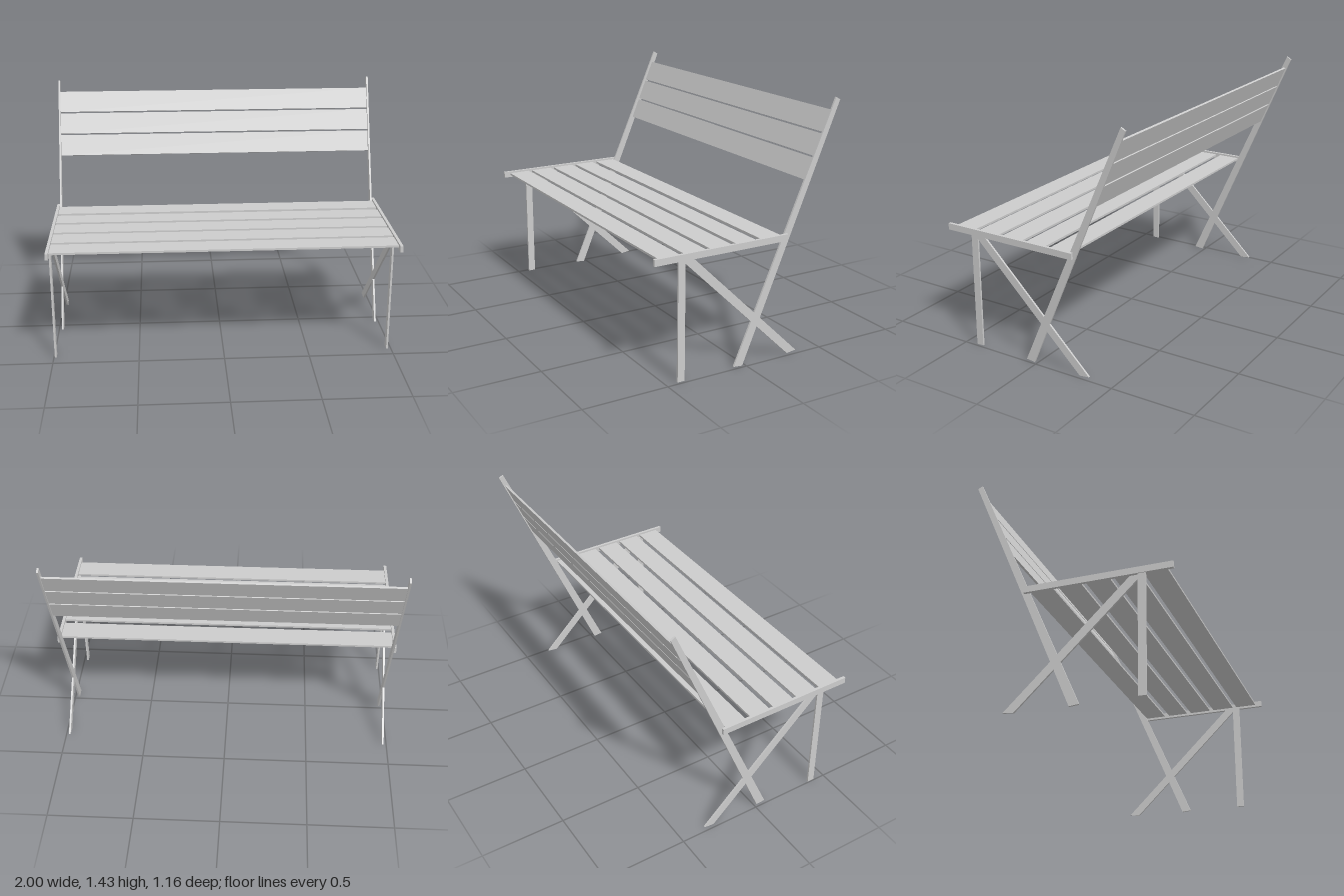
import * as THREE from 'three';

export function createModel() {
  const bench = new THREE.Group();
  bench.name = 'bench';
  const material = new THREE.MeshStandardMaterial({ color: 0xcccccc, flatShading: true });

  function add(name, geometry, parent = bench) {
    const mesh = new THREE.Mesh(geometry, material);
    mesh.name = name;
    parent.add(mesh);
    return mesh;
  }

  // Flat bar: side outline given as [z, y] corners, spanning x0..x1
  function bar(name, outline, x0, x1, parent) {
    const shape = new THREE.Shape(outline.map(([z, y]) => new THREE.Vector2(-z, y)));
    const geometry = new THREE.ExtrudeGeometry(shape, { depth: x1 - x0, bevelEnabled: false });
    geometry.rotateY(Math.PI / 2).translate(x0, 0, 0);
    return add(name, geometry, parent);
  }

  // Side frames: inner bars in one plane, the seat rail just outside them
  for (const [side, s] of [['left', 1], ['right', -1]]) {
    const frame = new THREE.Group();
    frame.name = side + 'Frame';
    bench.add(frame);
    const span = (a, b) => (s > 0 ? [a, b] : [-b, -a]);
    const inner = span(0.972, 0.983);
    // The right front leg sits under the rail, slightly further out
    const legSpan = s > 0 ? inner : [-0.995, -0.984];

    bar('seatRail', [[0.58, 0.68], [0.58, 0.717], [-0.255, 0.717], [-0.255, 0.68]],
      ...span(0.983, 1.0), frame);
    bar('frontLeg', [[0.43, 0], [0.43, 0.69], [0.387, 0.69], [0.387, 0]], ...legSpan, frame);
    bar('backPost', [[0.073, 0.005], [0.018, 0], [-0.58, 1.42], [-0.553, 1.435]], ...inner, frame);
    bar('diagonalBrace', [[0.387, 0.658], [0.387, 0.685], [0.345, 0.685], [-0.345, 0.012], [-0.285, 0.005]],
      ...inner, frame);
  }

  // Seat slats
  const seatSlats = [[0.41, 0.54], [0.25, 0.385], [0.09, 0.225], [-0.065, 0.063], [-0.227, -0.097]];
  seatSlats.forEach(([z0, z1], i) => {
    add('seatSlat' + (i + 1), new THREE.BoxGeometry(1.97, 0.012, z1 - z0))
      .position.set(0, 0.7, (z0 + z1) / 2);
  });

  // Backrest slats, leaning with the posts
  for (let i = 0; i < 3; i++) {
    const y = 1.051 + i * 0.1265;
    const slat = add('backSlat' + (i + 1), new THREE.BoxGeometry(1.946, 0.128, 0.012));
    slat.position.set(0, y, -0.385 - (y - 0.99) * 0.42);
    slat.rotation.x = -Math.atan(0.42);
  }

  return bench;
}
